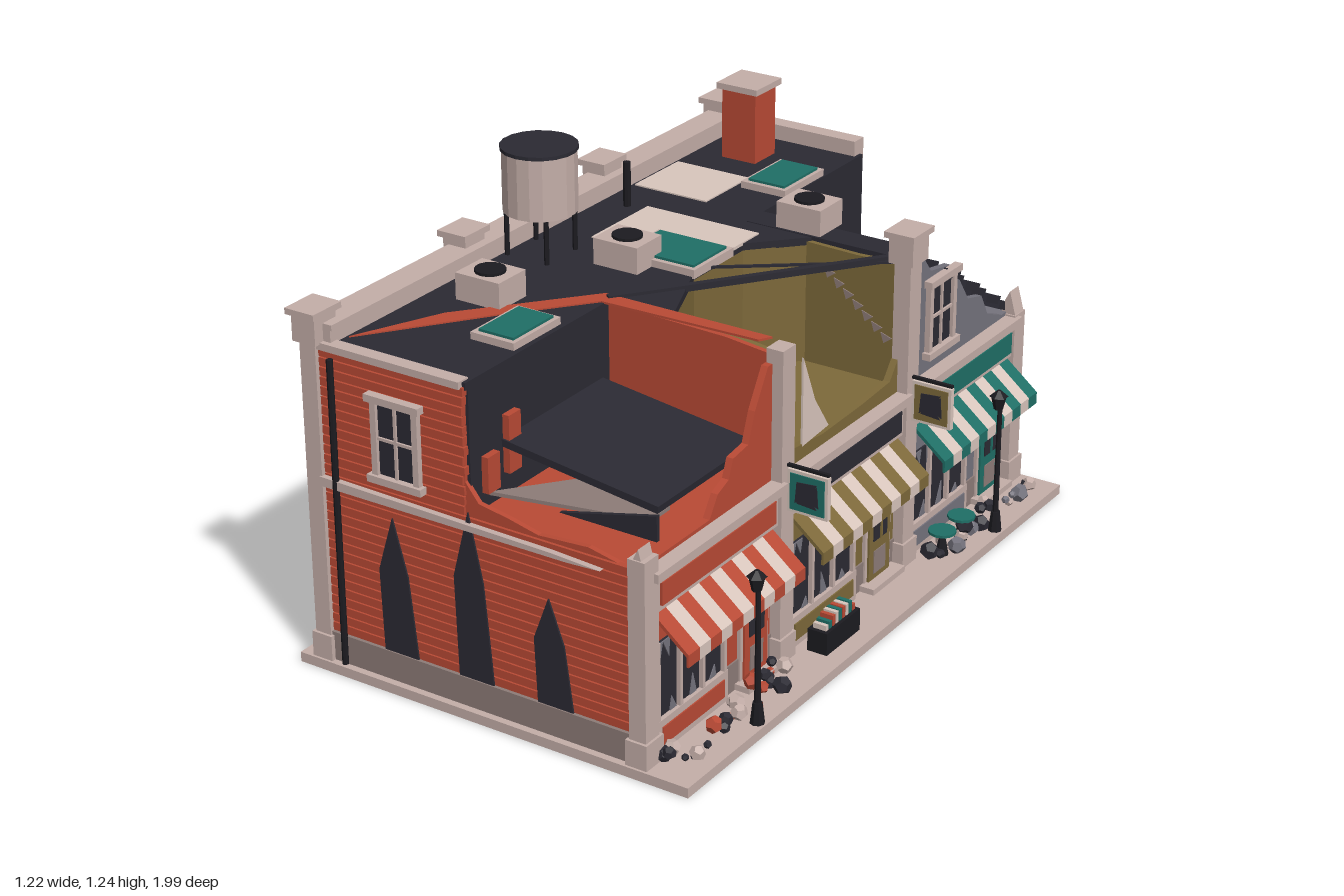
import * as THREE from 'three';

const C = { trim: 0xc4aea8, red: 0xb94a35, olive: 0x7d693a, grey: 0x75737d, dark: 0x2b2a33, teal: 0x1f6f66, cream: 0xd9c6bd, black: 0x1c1b20, shade: 0x8d7c78 };
const mats = {};
const mat = c => mats[c] ??= new THREE.MeshStandardMaterial({ color: C[c], flatShading: true, side: THREE.DoubleSide });

export function createModel() {
  const root = new THREE.Group();
  let seed = 7;
  const rnd = () => (seed = (seed * 16807) % 2147483647) / 2147483647;
  const add = (name, geo, c, parent = root) => {
    const m = new THREE.Mesh(geo, mat(c));
    m.name = name;
    parent.add(m);
    return m;
  };
  // box given by its extents
  const box = (name, c, x0, x1, y0, y1, z0, z1, parent) => {
    const m = add(name, new THREE.BoxGeometry(x1 - x0, y1 - y0, z1 - z0), c, parent);
    m.position.set((x0 + x1) / 2, (y0 + y1) / 2, (z0 + z1) / 2);
    return m;
  };
  // outline extruded along an axis: x uses (z,y), y uses (x,z), z uses (x,y)
  const poly = (name, c, axis, pts, from, depth, parent) => {
    const shape = new THREE.Shape(pts.map(p => new THREE.Vector2(...p)));
    const g = new THREE.ExtrudeGeometry(shape, { depth, bevelEnabled: false });
    if (axis === 'x') g.rotateY(-Math.PI / 2).translate(from + depth, 0, 0);
    if (axis === 'y') g.rotateX(Math.PI / 2).translate(0, from + depth, 0);
    if (axis === 'z') g.translate(0, 0, from);
    return add(name, g, c, parent);
  };
  const cyl = (name, c, r0, r1, h, x, y, z, n = 12, parent) => {
    const m = add(name, new THREE.CylinderGeometry(r0, r1, h, n), c, parent);
    m.position.set(x, y, z);
    return m;
  };
  const beam = (name, c, a, b, w) => {
    const A = new THREE.Vector3(...a), B = new THREE.Vector3(...b);
    const m = add(name, new THREE.BoxGeometry(w, w, A.distanceTo(B)), c);
    m.position.copy(A).lerp(B, 0.5);
    m.lookAt(B);
  };
  const place = (name, x, y, z, ry) => {
    const g = new THREE.Group();
    g.name = name;
    g.position.set(x, y, z);
    g.rotation.y = ry;
    root.add(g);
    return g;
  };
  // sash window facing local +z, with jagged glass left in the frame
  const sash = (x, y, z, ry, w = 0.13, h = 0.21) => {
    const g = place('sashWindow', x, y, z, ry);
    box('pane', 'dark', -w / 2, w / 2, -h / 2, h / 2, -0.005, 0.006, g);
    for (const s of [-1, 1]) {
      box('jamb', 'trim', s * w / 2 - 0.009, s * w / 2 + 0.009, -h / 2, h / 2, 0, 0.016, g);
      box(s < 0 ? 'sill' : 'lintel', 'trim', -w / 2 - 0.02, w / 2 + 0.02, s * (h / 2 + 0.006) - 0.01, s * (h / 2 + 0.006) + 0.01, 0, 0.025, g);
    }
    box('mullion', 'trim', -0.004, 0.004, -h / 2, h / 2, 0, 0.012, g);
    box('meetingRail', 'trim', -w / 2, w / 2, -0.004, 0.004, 0, 0.012, g);
  };
  const door = (c, x, z, ry, w = 0.11, h = 0.25) => {
    const g = place('door', x, 0.035, z, ry);
    box('doorFrame', 'trim', -w / 2 - 0.012, w / 2 + 0.012, 0, h + 0.015, 0, 0.01, g);
    box('doorLeaf', c, -w / 2, w / 2, 0, h, 0, 0.016, g);
    box('doorGlass', 'dark', -w * 0.32, w * 0.32, h * 0.48, h * 0.9, 0, 0.019, g);
    box('doorPanel', 'shade', -w * 0.28, w * 0.28, h * 0.1, h * 0.36, 0, 0.018, g);
    box('doorBar', c, -0.004, 0.004, h * 0.48, h * 0.9, 0, 0.023, g);
    box('step', 'trim', -w / 2 - 0.03, w / 2 + 0.03, -0.01, 0.01, 0, 0.05, g);
  };

  // pavement and plinth
  box('base', 'trim', -0.61, 0.61, 0, 0.028, -0.985, 0.985);
  box('plinth', 'shade', -0.535, 0.45, 0.028, 0.11, -0.965, 0.965);

  const units = [
    { c: 'red', sign: 'red', z0: 0.32, z1: 0.95, door: 0.44, win: [0.59, 0.89], leaf: 'red' },
    { c: 'olive', sign: 'dark', z0: -0.32, z1: 0.32, door: -0.19, win: [-0.05, 0.27], leaf: 'olive' },
    { c: 'grey', sign: 'teal', z0: -0.95, z1: -0.32, door: -0.82, win: [-0.67, -0.36], leaf: 'teal' },
  ];
  for (const u of units) {
    const mid = (u.z0 + u.z1) / 2, a = u.z0 + 0.045, b = u.z1 - 0.045;
    box('groundFloor', u.c, -0.52, 0.445, 0.03, 0.565, u.z0, u.z1);
    if (u.c !== 'olive') {
      box('rearUpperFloor', u.c, -0.52, -0.07, 0.56, 0.915, u.z0, u.z1);
      box('innerWall', 'dark', -0.07, -0.06, 0.565, 0.93, u.z0, u.z1 - 0.01);
      box('roof', 'dark', -0.52, -0.06, 0.91, 0.93, u.z0, u.z1);
    }
    // shop front
    const [w0, w1] = u.win;
    box('stallBoard', 'trim', 0.44, 0.465, 0.03, 0.12, w0 - 0.01, w1 + 0.01);
    box('stallPanel', u.c, 0.44, 0.469, 0.05, 0.1, w0 + 0.01, w1 - 0.01);
    box('displayWindow', 'dark', 0.44, 0.452, 0.12, 0.33, w0, w1);
    for (const t of [0, 0.33, 0.67, 1]) {
      const z = w0 + (w1 - w0) * t;
      box('windowMullion', 'trim', 0.44, 0.464, 0.12, 0.34, z - 0.006, z + 0.006);
    }
    for (let i = 0; i < 10; i++) {
      const z = w0 + (w1 - w0) * i / 10, s = (w1 - w0) / 10, top = i % 3 !== 1;
      const y = top ? 0.33 : 0.12, d = (top ? -1 : 1) * (0.02 + 0.05 * rnd());
      poly('glassShard', 'grey', 'x', [[z, y], [z + s, y], [z + s * rnd(), y + d]], 0.452, 0.003);
    }
    door(u.leaf, 0.445, u.door, Math.PI / 2, 0.11, 0.265);
    box('signFrame', 'trim', 0.44, 0.47, 0.435, 0.53, a - 0.01, b + 0.01);
    box('signBoard', u.sign, 0.44, 0.478, 0.452, 0.515, a + 0.01, b - 0.01);
    box('cornice', 'trim', 0.43, 0.49, 0.53, 0.555, u.z0 + 0.02, u.z1 - 0.02);
    const n = 11, s = (b - a) / n;
    for (let i = 0; i < n; i++)
      poly('awningStripe', i % 2 ? 'cream' : u.sign === 'dark' ? 'olive' : u.sign, 'z',
        [[0.45, 0.435], [0.56, 0.345], [0.56, 0.31], [0.553, 0.31], [0.553, 0.338], [0.45, 0.422]], a + i * s, s);
    // rear wall
    const rx = -Math.PI / 2;
    door(u.leaf, -0.52, mid, rx, 0.1, 0.25);
    box('rearLamp', 'black', -0.55, -0.52, 0.31, 0.33, mid - 0.02, mid + 0.02);
    for (const d of [-0.13, 0.13]) sash(-0.522, 0.72, mid + d, rx);
    box('rearBelt', 'trim', -0.54, -0.51, 0.54, 0.565, u.z0, u.z1);
    for (let y = 0.575; y < 0.9; y += 0.027) box('rearSiding', u.c, -0.526, -0.515, y, y + 0.022, u.z0, u.z1);
  }

  // clapboards, windows, belts and drainpipes on both ends
  for (const s of [1, -1]) {
    const c = s > 0 ? 'red' : 'grey';
    const zz = (d0, d1) => [Math.min(s * d0, s * d1), Math.max(s * d0, s * d1)];
    for (let y = 0.112; y < 0.9; y += 0.027)
      box('siding', c, -0.52, y < 0.55 ? 0.44 : -0.075 + 0.012 * rnd(), y, y + 0.023, ...zz(0.94, 0.958));
    sash(-0.27, 0.72, s * 0.96, s > 0 ? 0 : Math.PI);
    poly('sideBelt', 'trim', 'z', [[-0.52, 0.537], [0.25, 0.54], [0.35, 0.545], [0.2, 0.553], [-0.52, 0.563]], s > 0 ? 0.955 : -0.975, 0.02);
    cyl('drainPipe', 'black', 0.009, 0.009, 0.87, -0.47, 0.465, s * 0.97, 8);
    poly('brokenWallTop', c, 'z', [[-0.07, 0.56], [-0.07, 0.66], [-0.03, 0.61], [0.06, 0.595], [0.15, 0.575], [0.3, 0.585], [0.42, 0.56]], s > 0 ? 0.935 : -0.95, 0.015);
  }
  for (const [x, w, h, skew] of [[-0.288, 0.058, 0.5, -0.01], [-0.048, 0.058, 0.585, -0.008], [0.197, 0.058, 0.415, -0.012]])
    poly('scorchMark', 'dark', 'z', [[x - w + 0.008, 0.112], [x + w, 0.112], [x + w - 0.025, 0.11 + (h - 0.11) * 0.6], [x + skew, h], [x - w, 0.11 + (h - 0.11) * 0.6]], 0.959, 0.005);

  // middle unit: open room behind a ragged roof hole
  const hole = [[-0.52, -0.32], [0.15, -0.32], [0.02, -0.18], [0.02, 0.06], [0.12, 0.3], [0.12, 0.32], [-0.52, 0.32]];
  poly('middleUpperFloor', 'olive', 'y', hole, 0.56, 0.35);
  poly('middleRoof', 'dark', 'y', hole, 0.908, 0.022);
  for (const [name, c, z] of [['redPartyWall', 'red', 0.325], ['olivePartyWall', 'olive', 0.31], ['olivePartyWall', 'olive', -0.325], ['greyPartyWall', 'grey', -0.34]])
    poly(name, c, 'z', [[-0.07, 0.56], [0.44, 0.56], [0.44, z > 0 ? 0.9 : 0.92], [0.3, 0.915], [0.1, 0.92], [-0.07, 0.92]], z, 0.015);
  for (let i = 0; i < 7; i++) {
    const x = 0.2 + i * 0.03, y = 0.86 - i * 0.025;
    poly('plasterCrack', 'shade', 'z', [[x, y], [x + 0.035, y - 0.012], [x + 0.01, y - 0.03]], -0.309, 0.003);
  }
  poly('tornCurtain', 'cream', 'x', [[0.2, 0.59], [0.07, 0.6], [0.14, 0.7], [0.2, 0.84]], 0.44, 0.006);
  poly('brokenSillWall', 'olive', 'x', [[0.29, 0.56], [0.29, 0.66], [0.24, 0.6], [0.1, 0.585], [-0.1, 0.59], [-0.25, 0.6], [-0.29, 0.65], [-0.29, 0.56]], 0.425, 0.02);
  beam('fallenBeam', 'dark', [0.42, 0.93, -0.33], [-0.07, 0.93, 0.33], 0.018);
  beam('fallenBeam', 'dark', [0.42, 0.925, -0.3], [0.02, 0.93, 0.02], 0.007);

  // red unit: collapsed floor and ragged front
  poly('raggedRedFront', 'red', 'x', [[0.64, 0.56], [0.6, 0.62], [0.55, 0.64], [0.53, 0.69], [0.46, 0.7], [0.43, 0.78], [0.37, 0.88], [0.35, 0.88], [0.35, 0.56]], 0.425, 0.02);
  const slab = box('fallenRoofSlab', 'dark', -0.24, 0.24, -0.01, 0.01, -0.22, 0.22);
  slab.position.set(0.17, 0.685, 0.59);
  slab.rotation.z = -0.125;
  poly('fallenPanel', 'shade', 'y', [[0.14, 0.64], [-0.05, 0.88], [0.37, 0.79], [0.37, 0.7]], 0.6, 0.01);
  poly('fallenShard', 'dark', 'z', [[0.15, 0.6], [0.44, 0.6], [0.44, 0.67]], 0.85, 0.012);
  for (const [z, y0, y1] of [[0.78, 0.63, 0.79], [0.87, 0.61, 0.71]]) box('brickStub', 'red', -0.07, -0.04, y0, y1, z - 0.025, z + 0.025);
  poly('tornRoofStrip', 'red', 'y', [[-0.09, 0.31], [0.42, 0.31], [0.4, 0.345], [-0.07, 0.36], [-0.23, 0.56], [-0.47, 0.89], [-0.36, 0.64]], 0.928, 0.006);

  // grey unit: ragged front and roof sliding down to the end wall
  poly('raggedGreyFront', 'grey', 'x', [[-0.35, 0.56], [-0.35, 0.91], [-0.42, 0.9], [-0.46, 0.85], [-0.57, 0.83], [-0.63, 0.76], [-0.68, 0.69], [-0.76, 0.67], [-0.8, 0.6], [-0.9, 0.56]], 0.425, 0.02);
  sash(0.445, 0.715, -0.51, Math.PI / 2, 0.13, 0.2);
  for (let i = 0; i < 8; i++) {
    const m = box('slidingRoofStrip', 'dark', -0.065, 0.42 + 0.035 * rnd(), -0.012, 0.012, -0.045, 0.045);
    m.position.y = 0.895 - i * 0.045;
    m.position.z = -0.43 - i * 0.07;
    m.rotation.x = -0.42;
  }
  box('roofRemnant', 'dark', -0.06, 0.42, 0.91, 0.93, -0.41, -0.325);

  // piers: rear row full height, front row partly broken
  const pier = (x, z, h, cap) => {
    box('pier', 'trim', x - 0.025, x + 0.025, 0.028, h, z - 0.03, z + 0.03);
    box('pierBase', 'trim', x - 0.032, x + 0.032, 0.028, 0.1, z - 0.038, z + 0.038);
    if (!cap) return;
    box('pierHead', 'trim', x - 0.037, x + 0.037, 0.93, 1.005, z - 0.042, z + 0.042);
    box('pierCap', 'trim', x - 0.046, x + 0.046, 1.005, 1.022, z - 0.055, z + 0.055);
  };
  for (const z of [-0.94, -0.32, 0.32, 0.94]) pier(-0.54, z, 0.94, true);
  for (const [z, h] of [[-0.94, 0.56], [-0.32, 0.94], [0.32, 0.92], [0.94, 0.6]]) pier(0.452, z, h, z === -0.32);
  for (const z of [-0.94, 0.94]) poly('brokenPierTip', 'trim', 'z', [[0.427, 0.55], [0.477, 0.55], [0.455, 0.63], [0.44, 0.6]], z - 0.025, 0.05);
  // parapets
  box('rearParapet', 'trim', -0.545, -0.48, 0.9, 0.968, -0.95, 0.95);
  box('rearCoping', 'trim', -0.56, -0.475, 0.968, 0.983, -0.95, 0.95);
  box('endParapet', 'trim', -0.52, -0.07, 0.91, 0.975, -0.97, -0.92);
  box('endCoping', 'trim', -0.52, -0.07, 0.915, 0.935, 0.925, 0.965);

  // roof fittings
  cyl('tank', 'trim', 0.102, 0.102, 0.175, -0.4, 1.142, 0.165, 18);
  cyl('tankLid', 'dark', 0.106, 0.106, 0.01, -0.4, 1.232, 0.165, 18);
  for (const dx of [-0.065, 0.065]) for (const dz of [-0.065, 0.065]) cyl('tankLeg', 'black', 0.007, 0.007, 0.13, -0.4 + dx, 0.992, 0.165 + dz, 6);
  box('chimney', 'red', -0.39, -0.278, 0.92, 1.14, -0.818, -0.71);
  box('chimneyCap', 'trim', -0.402, -0.266, 1.14, 1.158, -0.832, -0.698);
  for (const [x, z] of [[0.1, -0.39], [-0.165, 0.1], [-0.325, 0.49]]) {
    box('coolingUnit', 'trim', x - 0.07, x + 0.07, 0.93, 1.005, z - 0.058, z + 0.058);
    cyl('coolingFan', 'black', 0.042, 0.042, 0.014, x, 1.006, z, 14);
  }
  for (const [x0, x1, z0, z1] of [[-0.21, -0.065, -0.74, -0.53], [-0.2, 0.04, -0.1, 0.09], [-0.21, -0.075, 0.53, 0.73]]) {
    box('skylightFrame', 'trim', x0, x1, 0.925, 0.95, z0, z1);
    box('skylightGlass', 'teal', x0 + 0.015, x1 - 0.012, 0.93, 0.957, z0 + 0.015, z1 - 0.015);
  }
  box('roofPatch', 'cream', -0.47, -0.23, 0.925, 0.934, -0.6, -0.38);
  box('roofPatch', 'cream', -0.345, 0.02, 0.925, 0.934, -0.26, 0.01);
  cyl('ventPipe', 'black', 0.011, 0.011, 0.14, -0.4, 0.99, -0.24, 8);

  // street furniture
  for (const z of [0.63, -0.63]) {
    cyl('lampBase', 'black', 0.013, 0.02, 0.06, 0.585, 0.058, z, 8);
    cyl('lampPost', 'black', 0.007, 0.009, 0.38, 0.585, 0.22, z, 8);
    cyl('lampHead', 'black', 0.022, 0.013, 0.04, 0.58, 0.425, z, 6);
    cyl('lampCap', 'black', 0.006, 0.027, 0.018, 0.58, 0.453, z, 6);
  }
  for (const [z, c] of [[0.32, 'teal'], [-0.32, 'olive']]) {
    box('signArm', 'black', 0.46, 0.6, 0.593, 0.601, z - 0.005, z + 0.005);
    box('hangingSignFrame', 'cream', 0.48, 0.6, 0.47, 0.59, z - 0.008, z + 0.008);
    box('hangingSignBoard', c, 0.489, 0.591, 0.479, 0.581, z - 0.011, z + 0.011);
    for (const r of [0, Math.PI / 2]) {
      const g = place('signEmblem', 0.54, 0.53, z, 0);
      poly('emblemShape', 'dark', 'z', [[-0.035, -0.03], [0, -0.01], [0.035, -0.03], [0.03, 0.03], [0, 0.01], [-0.03, 0.03]], -0.013, 0.026, g).rotation.z = r;
    }
  }
  box('bookCrate', 'black', 0.5, 0.56, 0.03, 0.095, 0.08, 0.25);
  for (let i = 0; i < 9; i++) box('book', ['red', 'teal', 'cream'][i % 3], 0.51, 0.55, 0.07, 0.11 + 0.02 * rnd(), 0.09 + i * 0.017, 0.102 + i * 0.017);
  for (const z of [-0.42, -0.53]) {
    cyl('cafeTable', 'teal', 0.04, 0.04, 0.008, 0.53, 0.1, z, 12);
    cyl('tableLeg', 'black', 0.006, 0.02, 0.07, 0.53, 0.063, z, 8);
  }
  // rubble along the pavement
  for (let i = 0; i < 46; i++) {
    const r = 0.01 + 0.018 * rnd(), z = i < 26 ? 0.36 + 0.57 * rnd() : -0.92 + 0.55 * rnd();
    const m = add('rubble', new THREE.DodecahedronGeometry(r), ['dark', 'trim', i < 26 ? 'red' : 'grey', 'dark'][i % 4]);
    m.position.set(0.485 + 0.075 * rnd(), 0.03 + r * 0.7 + (i % 6 === 0 ? 0.025 : 0), z);
    m.rotation.set(rnd() * 3, rnd() * 3, 0);
  }
  return root;
}
